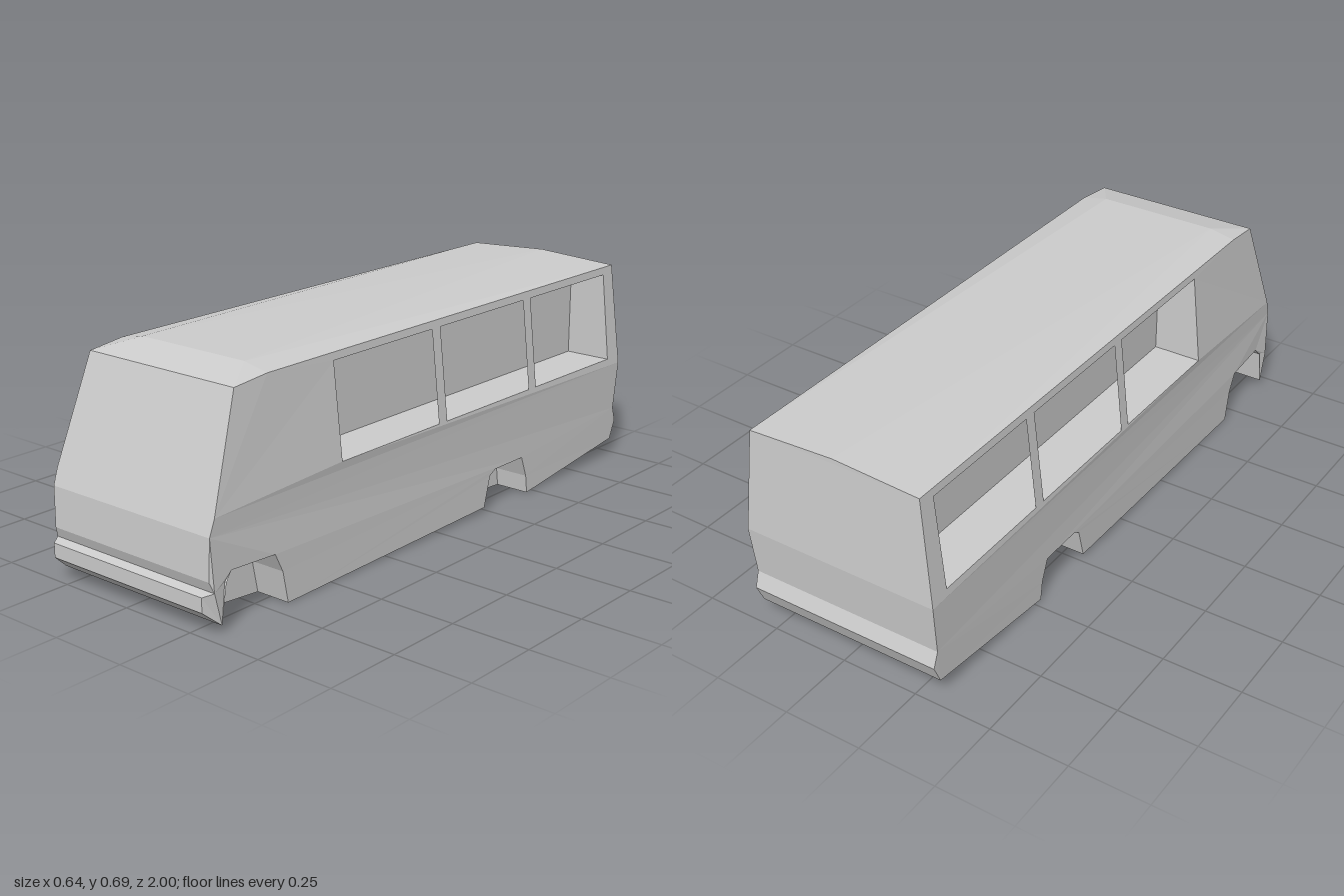
import * as THREE from 'three';

const bodyGrey = new THREE.MeshStandardMaterial({ color: 0xcccccc, side: THREE.DoubleSide, flatShading: true });
bodyGrey.name = 'body grey';

const WAIST = 0.33, ARCH_X = 0.2, RECESS_X = 0.16;

// Half width of the body: widest at the waist, leaning in above, tapering at the nose
function sideX(z, y) {
  const base = y < WAIST
    ? THREE.MathUtils.mapLinear(Math.max(y, 0.12), 0.12, WAIST, 0.317, 0.322)
    : THREE.MathUtils.mapLinear(y, WAIST, 0.67, 0.322, 0.285);
  const taper = y > 0.14 ? 0.009 * THREE.MathUtils.clamp((z - 0.72) / 0.26, 0, 1) : 0;
  return base - taper;
}

// Profiles as [z, y] or [z, y, halfWidth]
const bumper = [[0.945, 0.022], [1, 0.07, 0.298], [1, 0.115, 0.298], [0.97, 0.122]];
const nose = [[0.97, 0.122], [0.982, 0.155], [0.978, 0.28], [0.96, WAIST]];
const windscreen = [[0.96, WAIST], [0.845, 0.655]];
const rear = [[-0.985, 0.67], [-0.997, WAIST], [-0.98, 0.17], [-0.997, 0.12], [-0.97, 0.06]];
const rearArch = [[-0.47, 0], [-0.462, 0.06], [-0.435, 0.13], [-0.29, 0.13], [-0.262, 0.115], [-0.235, 0.015]];
const frontArch = [[0.685, 0], [0.705, 0.1], [0.735, 0.16], [0.9, 0.166], [0.925, 0.14], [0.945, 0.022]];
const windows = [[0.01, 0.455], [-0.46, -0.03], [-0.93, -0.5]];
const SILL = 0.355, HEAD = 0.645;

function addMesh(parent, name, geometry) {
  const mesh = new THREE.Mesh(geometry, bodyGrey);
  mesh.name = name;
  parent.add(mesh);
}

// Geometry from a list of triangles, each three [x, y, z] corners
function fromTriangles(tris) {
  const g = new THREE.BufferGeometry();
  g.setAttribute('position', new THREE.Float32BufferAttribute(tris.flat(2), 3));
  g.computeVertexNormals();
  return g;
}

// Band swept along a profile between two x limits
function strip(path, xA, xB) {
  const tris = [];
  for (let i = 0; i < path.length - 1; i++) {
    const p = path[i], q = path[i + 1];
    const a0 = [xA(p), p[1], p[0]], b0 = [xB(p), p[1], p[0]];
    const a1 = [xA(q), q[1], q[0]], b1 = [xB(q), q[1], q[0]];
    tris.push([a0, b0, b1], [a0, b1, a1]);
  }
  return fromTriangles(tris);
}
const outer = (p) => p[2] ?? sideX(p[0], p[1]);
const fullWidth = (path) => strip(path, (p) => -outer(p), outer);

// Band from a fixed depth out to the body side, on side s
function pocket(path, depth, s) {
  return s > 0 ? strip(path, () => depth, outer) : strip(path, (p) => -outer(p), () => -depth);
}

// Flat outline in (z, y), placed on side s with x given by a rule
function panel(outline, holes, s, xRule) {
  const shape = new THREE.Shape(outline.map(([z, y]) => new THREE.Vector2(z, y)));
  for (const [z0, z1] of holes) {
    shape.holes.push(new THREE.Path([[z0, SILL], [z0, HEAD], [z1, HEAD], [z1, SILL]]
      .map(([z, y]) => new THREE.Vector2(z, y))));
  }
  const g = new THREE.ShapeGeometry(shape);
  const pos = g.attributes.position;
  for (let i = 0; i < pos.count; i++) {
    const z = pos.getX(i), y = pos.getY(i);
    pos.setXYZ(i, s * xRule(z, y), y, z);
  }
  if (s > 0) g.index.array.reverse();
  const flat = g.toNonIndexed();
  flat.computeVertexNormals();
  return flat;
}

// Crowned roof, hipped at the front and peaked at the tail
function roofGeometry() {
  const F = [sideX(0.845, 0.655), 0.655, 0.845], R = [0.2, 0.685, 0.72];
  const S = [sideX(0.72, 0.668), 0.668, 0.72], B = [sideX(-0.985, 0.67), 0.67, -0.985];
  const C = [0, 0.685, -0.985];
  const m = ([x, y, z]) => [-x, y, z];
  const half = [[F, S, R], [R, S, B], [R, B, C]];
  const mirrored = half.map(([a, b, c]) => [m(a), m(c), m(b)]);
  return fromTriangles([...half, ...mirrored,
    [m(F), F, R], [m(F), R, m(R)], [m(R), R, C], [B, m(B), C]]);
}

export function createModel() {
  const van = new THREE.Group();
  van.name = 'vanBody';

  // Full-width skin
  addMesh(van, 'frontBumper', fullWidth(bumper));
  addMesh(van, 'nosePanel', fullWidth(nose));
  addMesh(van, 'windscreen', fullWidth(windscreen));
  addMesh(van, 'roof', roofGeometry());
  addMesh(van, 'rearPanel', fullWidth(rear));
  addMesh(van, 'rearFloor', fullWidth([rear.at(-1), rearArch[0]]));
  addMesh(van, 'middleFloor', fullWidth([rearArch.at(-1), frontArch[0]]));

  // Narrow floor between each pair of wheel arches
  for (const arch of [rearArch, frontArch]) {
    addMesh(van, 'archFloor', strip([arch[0], arch.at(-1)], () => -ARCH_X, () => ARCH_X));
  }

  const lower = [...nose, ...rear.slice(1), ...rearArch, ...frontArch];
  const upper = [...windscreen, [0.72, 0.668], rear[0], rear[1]];
  const zBack = windows[2][0], zFront = windows[0][1];
  const recess = [[zFront, SILL], [zBack, SILL], [zBack, HEAD], [zFront, HEAD]];

  for (const s of [1, -1]) {
    const side = new THREE.Group();
    side.name = s > 0 ? 'leftSide' : 'rightSide';
    van.add(side);

    addMesh(side, 'lowerSide', panel(lower, [], s, sideX));
    addMesh(side, 'windowFrame', panel(upper, windows, s, sideX));

    // One long recess behind the three window openings
    addMesh(side, 'windowRecess', pocket([...recess, recess[0]], RECESS_X, s));
    addMesh(side, 'innerWall', panel([...recess].reverse(), [], s, () => RECESS_X));

    // Wheel arch pockets
    for (const [name, arch] of [['rearArch', rearArch], ['frontArch', frontArch]]) {
      addMesh(side, name, pocket(arch, ARCH_X, s));
      addMesh(side, name + 'InnerWall', panel(arch, [], s, () => ARCH_X));
    }

    // Angled bumper end
    const [b0, b1, b2, b3] = bumper.map((p) => [s * outer(p), p[1], p[0]]);
    const ends = [[b0, b3, b2], [b0, b2, b1]];
    addMesh(side, 'bumperEnd', fromTriangles(s > 0 ? ends : ends.map(([a, b, c]) => [a, c, b])));
  }
  return van;
}
